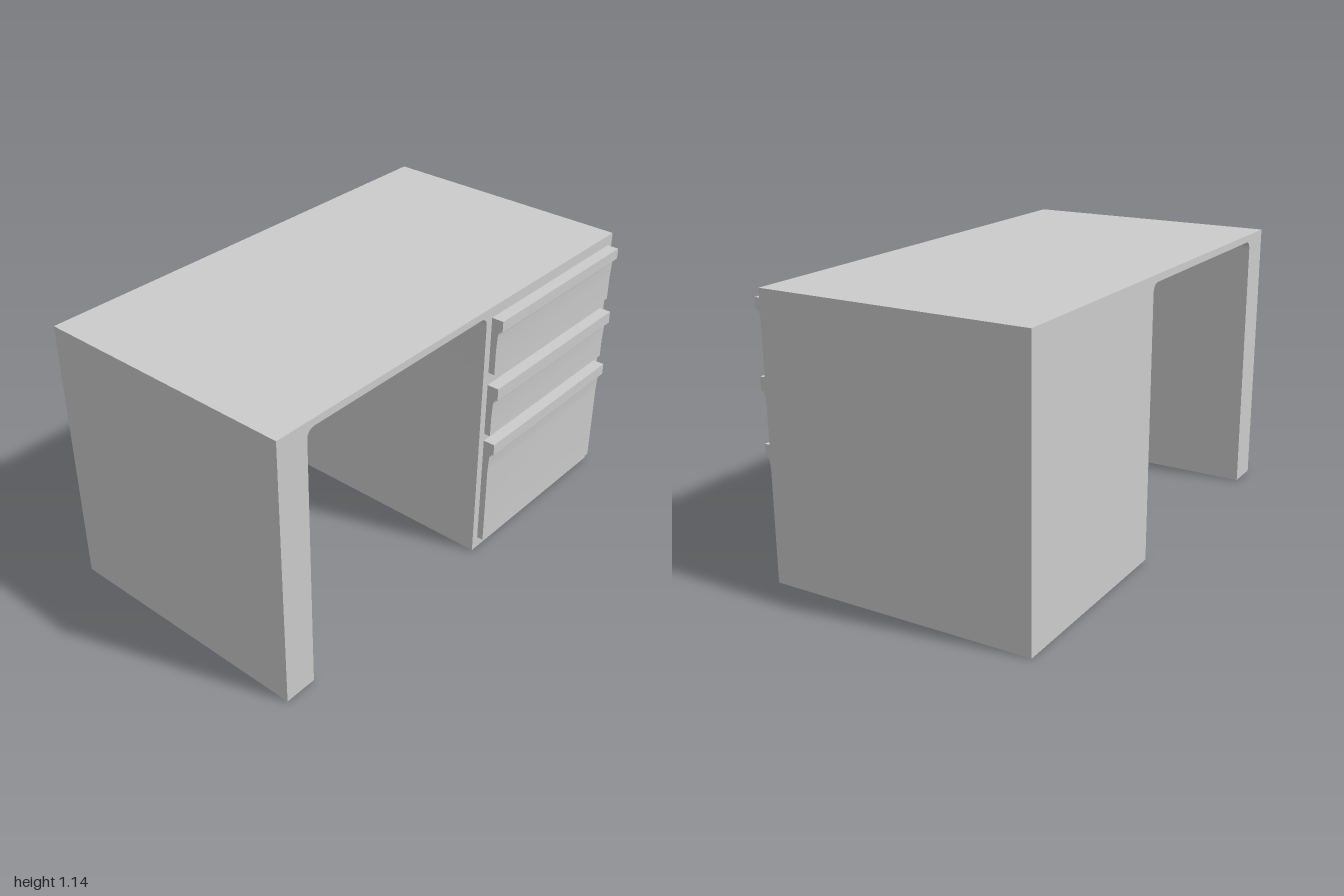
import * as THREE from 'three';
import { toCreasedNormals } from 'three/addons/utils/BufferGeometryUtils.js';

const BACK = -0.58, FACE = 0.53;

function extrude(shape, depth) {
  return new THREE.ExtrudeGeometry(shape, { depth, bevelEnabled: false, curveSegments: 10 });
}

export function createModel() {
  const desk = new THREE.Group();
  desk.name = 'desk';
  const material = new THREE.MeshStandardMaterial({ color: 0xcccccc });

  const add = (name, geometry) => {
    const mesh = new THREE.Mesh(toCreasedNormals(geometry, 0.6), material);
    mesh.name = name;
    desk.add(mesh);
    return mesh;
  };

  // Body: side panel, top and drawer cabinet around a kneehole with rounded corners
  const l = -0.86, r = 0.117, top = 1.11, c = 0.035;
  const body = new THREE.Shape();
  body.moveTo(-1, 0);
  body.lineTo(l, 0);
  body.lineTo(l, top - c);
  body.absarc(l + c, top - c, c, Math.PI, Math.PI / 2, true);
  body.lineTo(r - c, top);
  body.absarc(r - c, top - c, c, Math.PI / 2, 0, true);
  body.lineTo(r, 0);
  body.lineTo(1, 0);
  body.lineTo(1, 1.14);
  body.lineTo(-1, 1.14);
  body.closePath();
  add('body', extrude(body, FACE - BACK)).position.z = BACK;

  // Drawer fronts: side profile with an overhanging lip, drawn with -z across
  const drawers = [
    ['topDrawer', 0.855, 1.095, 1.05],
    ['middleDrawer', 0.573, 0.80, 0.747],
    ['bottomDrawer', 0.05, 0.54, 0.49],
  ];
  for (const [name, bottom, upper, lip] of drawers) {
    const front = new THREE.Shape();
    front.moveTo(-FACE + 0.002, bottom);
    front.lineTo(-FACE + 0.002, upper);
    front.lineTo(-0.58, upper);
    front.lineTo(-0.58, lip);
    front.lineTo(-0.574, lip);
    front.quadraticCurveTo(-0.561, lip - 0.004, -0.56, lip - 0.03);
    front.lineTo(-0.557, lip - 0.09);
    front.lineTo(-0.557, bottom);
    front.closePath();
    add(name, extrude(front, 0.82).rotateY(Math.PI / 2)).position.x = 0.15;
  }

  return desk;
}
